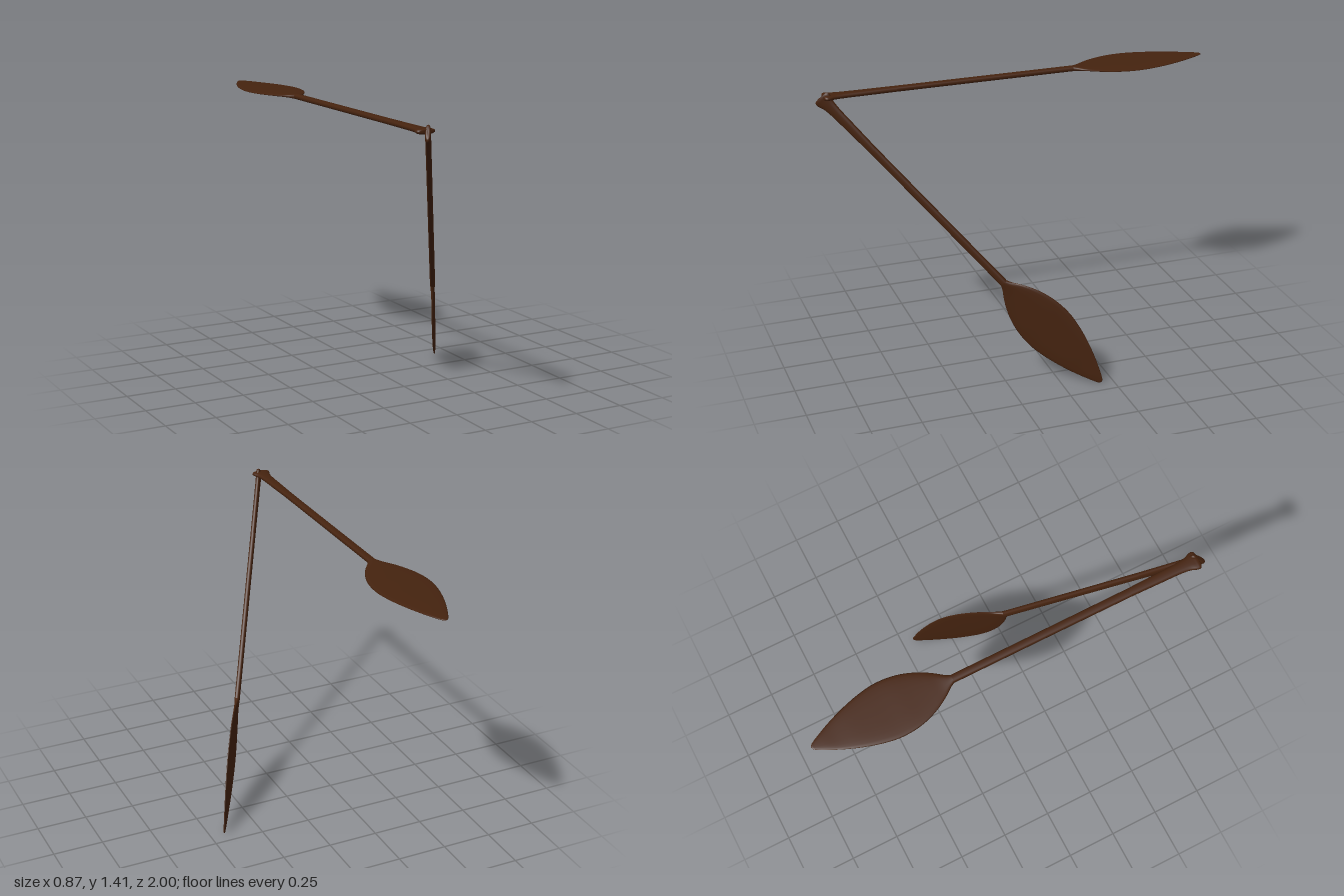
import * as THREE from 'three';

const SIDES = 20;

// Skins rounded cross-sections given as [z, halfWidth, halfThickness], running from +z to -z.
// power < 1 squares the section off, 1 is a plain ellipse.
function loft(stations, steps, power) {
  const curve = new THREE.CatmullRomCurve3(
    stations.map(([z, w, t]) => new THREE.Vector3(w, t, z)), false, 'centripetal');
  const pos = [], index = [];
  const soft = v => Math.sign(v) * Math.pow(Math.abs(v), power);
  for (let j = 0; j <= steps; j++) {
    const s = curve.getPoint(j / steps);
    for (let i = 0; i < SIDES; i++) {
      const a = (i / SIDES) * Math.PI * 2;
      pos.push(s.x * soft(Math.cos(a)), s.y * soft(Math.sin(a)), s.z);
      if (j === steps) continue;
      const p = j * SIDES + i, q = j * SIDES + (i + 1) % SIDES;
      index.push(p, p + SIDES, q, q, p + SIDES, q + SIDES);
    }
  }
  const g = new THREE.BufferGeometry();
  g.setAttribute('position', new THREE.Float32BufferAttribute(pos, 3));
  g.setIndex(index);
  g.computeVertexNormals();
  return g;
}

// Paddle along z: grip end at z = 0, blade tip at z = -1.97
function makePaddle(name, material) {
  const parts = {
    // flared grip with a closed, slightly bowed end
    grip: loft([
      [0, 0, 0], [0, 0.025, 0.007], [-0.003, 0.039, 0.011], [-0.012, 0.046, 0.013],
      [-0.025, 0.045, 0.013], [-0.055, 0.034, 0.013], [-0.1, 0.028, 0.013],
      [-0.2, 0.025, 0.013], [-0.36, 0.021, 0.013],
    ], 40, 0.8),
    shaft: loft([[-0.36, 0.021, 0.013], [-0.8, 0.02, 0.013], [-1.27, 0.02, 0.013]], 6, 0.8),
    // leaf-shaped blade, thinning toward a rounded tip
    blade: loft([
      [-1.27, 0.02, 0.013], [-1.29, 0.031, 0.011], [-1.33, 0.061, 0.008], [-1.38, 0.092, 0.007],
      [-1.45, 0.122, 0.0065], [-1.52, 0.138, 0.0065], [-1.6, 0.141, 0.006], [-1.68, 0.128, 0.006],
      [-1.77, 0.102, 0.006], [-1.85, 0.071, 0.005], [-1.91, 0.043, 0.005], [-1.95, 0.022, 0.004],
      [-1.965, 0.011, 0.003], [-1.97, 0, 0],
    ], 60, 0.8),
  };
  const paddle = new THREE.Group();
  paddle.name = name;
  for (const [part, geometry] of Object.entries(parts)) {
    const mesh = new THREE.Mesh(geometry, material);
    mesh.name = part;
    paddle.add(mesh);
  }
  return paddle;
}

export function createModel() {
  const wood = new THREE.MeshStandardMaterial({ color: 0x45230f });
  wood.name = 'dark brown wood';
  const model = new THREE.Group();
  model.name = 'pairOfPaddles';

  // level paddle, blade lying flat
  const level = makePaddle('levelPaddle', wood);
  level.position.set(-0.297, 1.386, 0.97);
  model.add(level);

  // sloping paddle, blade standing on edge
  const sloping = makePaddle('slopingPaddle', wood);
  const tip = new THREE.Vector3(0.43, 0.006, -0.188);
  const back = new THREE.Vector3(-0.727, 1.377, 1.165).normalize();
  const side = new THREE.Vector3(back.z, 0, -back.x).normalize();
  const width = new THREE.Vector3().crossVectors(side, back);
  sloping.quaternion.setFromRotationMatrix(new THREE.Matrix4().makeBasis(width, side, back));
  sloping.scale.setScalar(0.99);
  sloping.position.copy(tip).addScaledVector(back, 1.97 * 0.99);
  model.add(sloping);

  return model;
}
